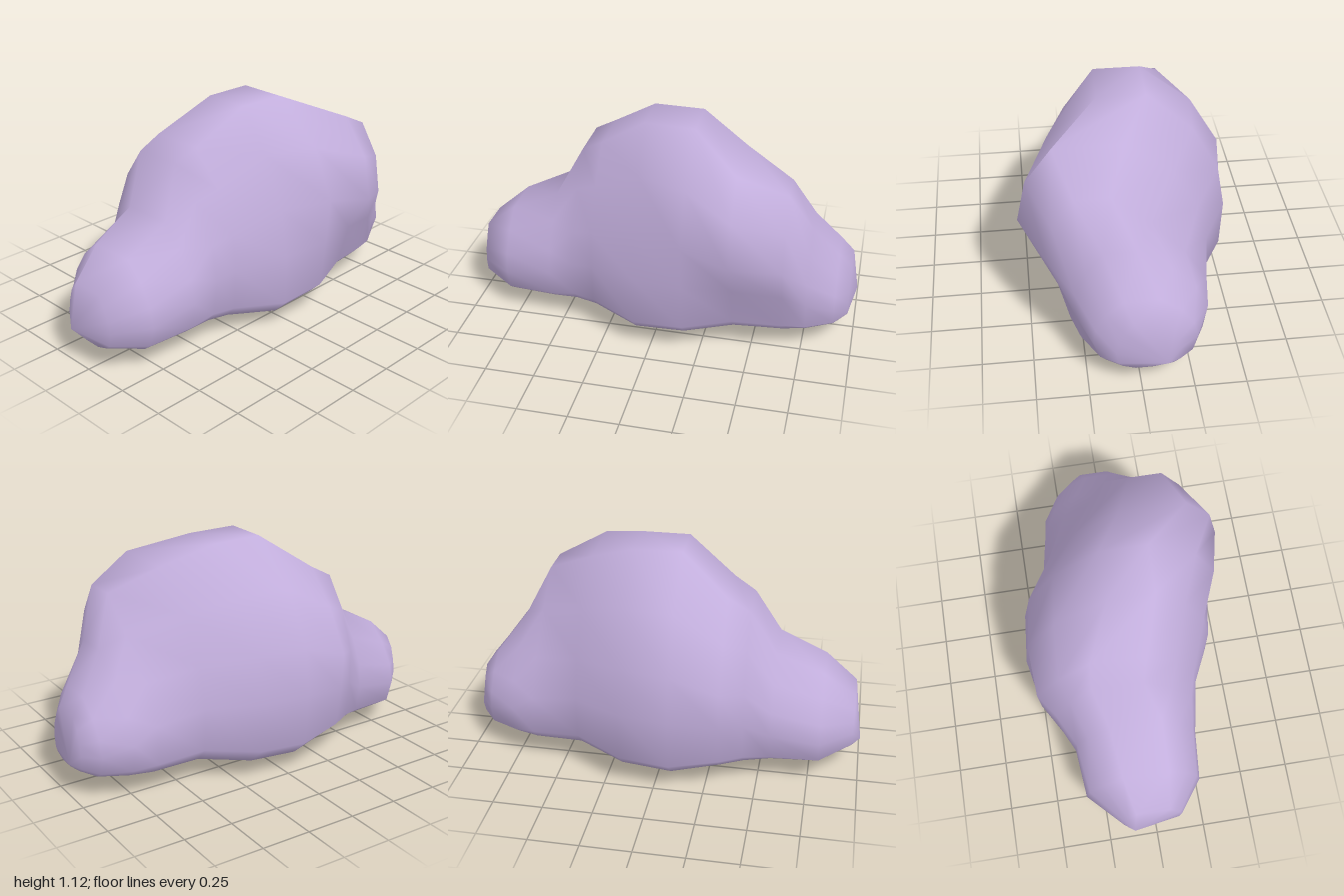
import * as THREE from 'three';

// Cross-sections from right to left:
// x, bottom y, top y, front z and back z at four levels going up, front and back z of the top
const RIGHT_SIDE = [
  [-0.96, 0.12, 0.41, [0.12, 0.13, 0.12, 0.09], [-0.17, -0.18, -0.17, -0.15], [0.06, -0.11]],
  [-0.80, 0.07, 0.54, [0.22, 0.25, 0.23, 0.17], [-0.31, -0.34, -0.32, -0.25], [0.08, -0.15]],
  [-0.56, 0.065, 0.65, [0.25, 0.27, 0.25, 0.17], [-0.34, -0.36, -0.35, -0.29], [0.08, -0.18]],
  [-0.43, 0.06, 0.89, [0.27, 0.29, 0.26, 0.15], [-0.41, -0.43, -0.43, -0.35], [0.01, -0.24]],
  [-0.32, 0.05, 0.95, [0.30, 0.31, 0.29, 0.19], [-0.47, -0.50, -0.51, -0.39], [0.04, -0.23]],
  [-0.08, 0.00, 1.12, [0.42, 0.42, 0.38, 0.27], [-0.53, -0.545, -0.52, -0.37], [0.12, -0.11]],
];
const LEFT_SIDE = [
  [0.17, 0.015, 1.115, [0.43, 0.46, 0.48, 0.37], [-0.51, -0.52, -0.48, -0.34], [0.13, -0.11]],
  [0.41, 0.055, 1.005, [0.35, 0.41, 0.535, 0.49], [-0.38, -0.39, -0.34, -0.21], [0.36, 0.02]],
  [0.65, 0.055, 0.89, [0.31, 0.35, 0.41, 0.38], [-0.36, -0.35, -0.24, -0.07], [0.28, 0.11]],
  [0.765, 0.07, 0.66, [0.27, 0.29, 0.29, 0.24], [-0.32, -0.34, -0.28, -0.16], [0.16, 0.00]],
  [0.90, 0.09, 0.48, [0.19, 0.22, 0.21, 0.16], [-0.25, -0.27, -0.25, -0.19], [0.08, -0.09]],
  [0.965, 0.12, 0.40, [0.11, 0.12, 0.11, 0.08], [-0.18, -0.18, -0.17, -0.15], [0.04, -0.11]],
];
const SECTIONS = [...RIGHT_SIDE, ...LEFT_SIDE];
const LEVELS = [0.14, 0.37, 0.58, 0.81]; // heights of the four levels, bottom to top
const RING = 14;

// One closed ring: rounded bottom, up the front, over the top, down the back
function ring([x, bottom, top, front, back, ridge]) {
  const height = (t) => bottom + t * (top - bottom);
  const frontSide = LEVELS.map((t, i) => [x, height(t), front[i]]);
  const backSide = LEVELS.map((t, i) => [x, height(t), back[i]]).reverse();
  return [
    [x, height(0.065), back[0] * 0.83], [x, bottom, back[0] * 0.27],
    [x, bottom, front[0] * 0.27], [x, height(0.075), front[0] * 0.83],
    ...frontSide,
    [x, top, ridge[0]], [x, top, ridge[1]],
    ...backSide,
  ];
}

// Skin the rings and close each end with a blunt tip
function cloudGeometry() {
  const points = SECTIONS.flatMap(ring);
  const rightTip = points.push([-1, 0.17, -0.12]) - 1;
  const leftTip = points.push([1, 0.17, -0.12]) - 1;
  const last = (SECTIONS.length - 1) * RING;
  const faces = [];
  for (let j = 0; j < RING; j++) {
    const k = (j + 1) % RING;
    for (let s = 0; s < last; s += RING) {
      const a = s + j, b = s + RING + j, c = s + RING + k, d = s + k;
      faces.push(a, b, d, b, c, d);
    }
    faces.push(rightTip, j, k, leftTip, last + k, last + j);
  }
  const geo = new THREE.BufferGeometry();
  geo.setAttribute('position', new THREE.Float32BufferAttribute(points.flat(), 3));
  geo.setIndex(faces);
  geo.computeVertexNormals();
  return geo;
}

export function createModel() {
  const group = new THREE.Group();
  group.name = 'cloud';
  const lilac = new THREE.MeshStandardMaterial({ color: 0xc2aedc });
  lilac.name = 'lilac';
  const body = new THREE.Mesh(cloudGeometry(), lilac);
  body.name = 'cloudBody';
  group.add(body);
  return group;
}
